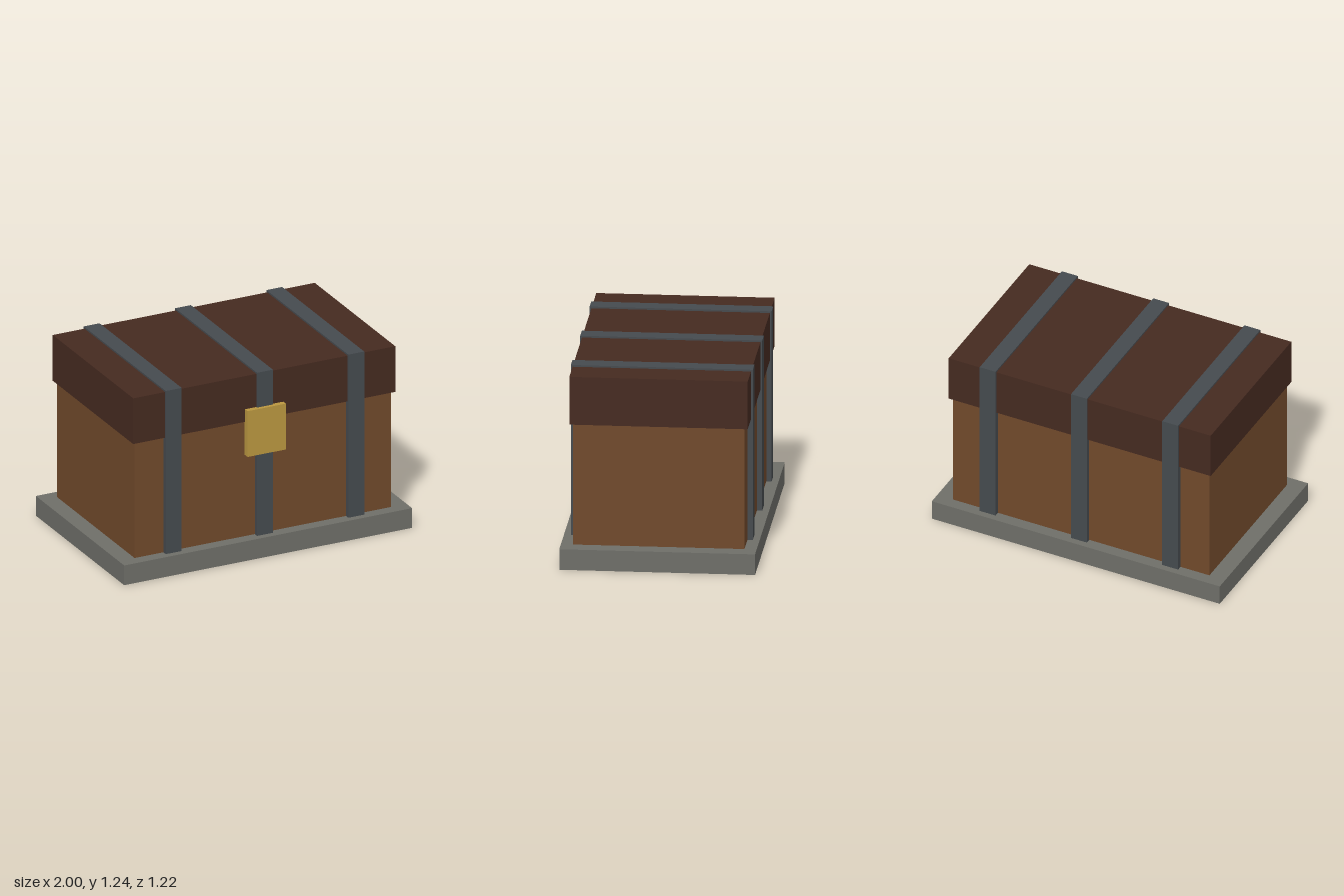
import * as THREE from 'three';

const material = (name, color) => {
  const m = new THREE.MeshStandardMaterial({ color });
  m.name = name;
  return m;
};

export function createModel() {
  const chest = new THREE.Group();
  chest.name = 'chest';

  const stone = material('stone grey', 0x6e6e68);
  const wood = material('brown wood', 0x70492b);
  const darkWood = material('dark wood', 0x452a20);
  const iron = material('iron', 0x454a4e);
  const brass = material('brass', 0xba9740);

  // Box spanning y0..y1 and z0..z1, centred on x
  const addBox = (name, mat, x, width, y0, y1, z0, z1) => {
    const mesh = new THREE.Mesh(new THREE.BoxGeometry(width, y1 - y0, z1 - z0), mat);
    mesh.name = name;
    mesh.position.set(x, (y0 + y1) / 2, (z0 + z1) / 2);
    chest.add(mesh);
  };

  // Plinth, body and overhanging lid
  addBox('plinth', stone, 0, 2, 0, 0.133, -0.61, 0.61);
  addBox('body', wood, 0, 1.78, 0.133, 0.915, -0.534, 0.534);
  addBox('lid', darkWood, 0, 1.82, 0.915, 1.224, -0.556, 0.556);

  // Bands wrapping front, top and back
  for (const x of [-0.634, 0, 0.634]) {
    addBox('band', iron, x, 0.11, 0.133, 1.235, -0.567, 0.567);
  }

  // Lock plate over the middle band
  addBox('lockPlate', brass, 0, 0.265, 0.69, 1.0, 0.545, 0.59);

  return chest;
}
